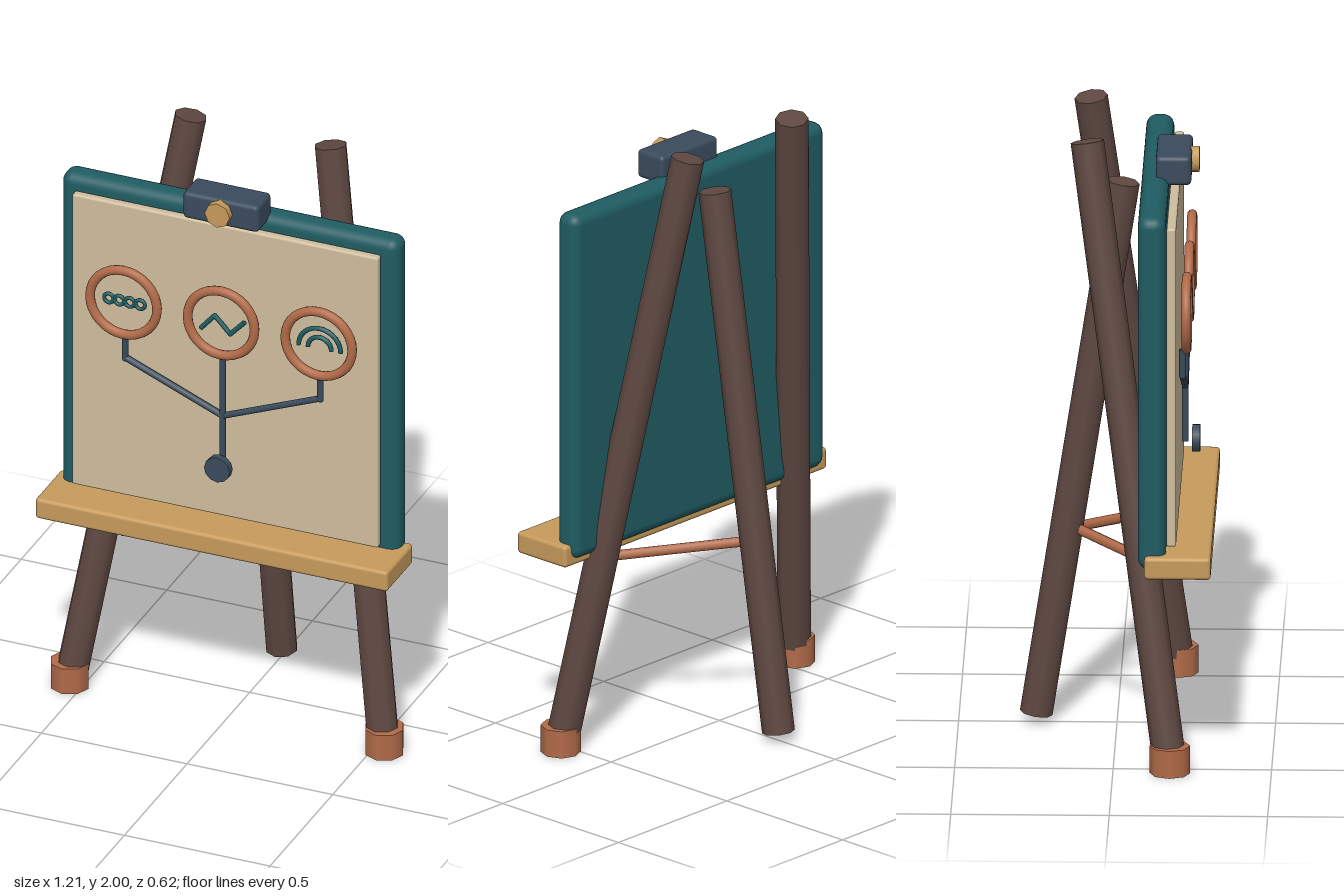
import * as THREE from 'three';
import { RoundedBoxGeometry } from 'three/addons/geometries/RoundedBoxGeometry.js';

const mat = (name, color) => {
  const m = new THREE.MeshStandardMaterial({ color });
  m.name = name;
  return m;
};

export function createModel() {
  const root = new THREE.Group();
  root.name = 'easel';
  const wood = mat('dark wood', 0x5f4842);
  const teal = mat('teal', 0x1f5c62);
  const paper = mat('parchment', 0xcfbe9e);
  const tan = mat('light wood', 0xc69a5b);
  const copper = mat('copper', 0xb26b49);
  const slate = mat('slate', 0x3a4b5c);

  const V = (x, y, z) => new THREE.Vector3(x, y, z);
  const add = (name, geometry, material, x = 0, y = 0, z = 0, parent = root) => {
    const mesh = new THREE.Mesh(geometry, material);
    mesh.name = name;
    mesh.position.set(x, y, z);
    parent.add(mesh);
    return mesh;
  };
  // Straight round bar between two points
  const bar = (name, a, b, r, sides, material, parent = root) => {
    const dir = b.clone().sub(a);
    const mid = a.clone().add(b).multiplyScalar(0.5);
    const mesh = add(name, new THREE.CylinderGeometry(r, r, dir.length(), sides), material, mid.x, mid.y, mid.z, parent);
    mesh.quaternion.setFromUnitVectors(V(0, 1, 0), dir.normalize());
    return mesh;
  };
  // Box given by its lower and upper limits on each axis
  const box = (name, [x0, x1], [y0, y1], [z0, z1], r, material) =>
    add(name, new RoundedBoxGeometry(x1 - x0, y1 - y0, z1 - z0, 3, r), material,
      (x0 + x1) / 2, (y0 + y1) / 2, (z0 + z1) / 2);
  // Short disc facing the front
  const disc = (name, r, depth, sides, material, x, y, z) => {
    const g = new THREE.CylinderGeometry(r, r, depth, sides);
    g.rotateX(Math.PI / 2);
    return add(name, g, material, x, y, z);
  };

  // Tripod: two splayed front legs with feet and braces, one rear leg
  for (const [side, s] of [['left', 1], ['right', -1]]) {
    bar(side + 'FrontLeg', V(s * 0.535, 0.04, 0.178), V(s * 0.24, 1.99, -0.088), 0.053, 8, wood);
    add(side + 'Foot', new THREE.CylinderGeometry(0.064, 0.064, 0.09, 8), copper, s * 0.54, 0.045, 0.18);
    bar(side + 'Brace', V(0, 0.643, -0.135), V(s * 0.36, 0.602, 0.19), 0.017, 8, copper);
  }
  bar('rearLeg', V(0, 0.03, -0.255), V(0, 1.785, 0.02), 0.052, 8, wood);

  // Board, sheet, tray and clip
  box('board', [-0.58, 0.58], [0.675, 1.838], [0.079, 0.167], 0.035, teal);
  box('sheet', [-0.525, 0.525], [0.74, 1.79], [0.169, 0.199], 0.008, paper);
  box('tray', [-0.605, 0.605], [0.655, 0.727], [0.1, 0.31], 0.012, tan);
  box('clip', [-0.13, 0.13], [1.81, 1.905], [0.125, 0.237], 0.015, slate);
  disc('clipKnob', 0.043, 0.035, 8, tan, 0, 1.86, 0.243);

  // Branching diagram leading to three rings
  const diagram = new THREE.Group();
  diagram.name = 'diagram';
  root.add(diagram);
  const lz = 0.215;
  bar('trunk', V(0, 0.93, lz), V(0, 1.335, lz), 0.011, 8, slate, diagram);
  for (const s of [-1, 1]) {
    bar('branch', V(0, 1.113, lz), V(s * 0.335, 1.25, lz), 0.011, 8, slate, diagram);
    bar('branchRiser', V(s * 0.335, 1.245, lz), V(s * 0.335, 1.335, lz), 0.011, 8, slate, diagram);
    add('branchJoint', new THREE.SphereGeometry(0.011, 8, 6), slate, s * 0.335, 1.247, lz, diagram);
  }
  disc('hub', 0.044, 0.025, 12, slate, 0, 0.94, 0.25);
  for (const x of [-0.335, 0, 0.335])
    add('ring', new THREE.TorusGeometry(0.115, 0.0155, 10, 32), copper, x, 1.455, 0.228, diagram);

  // Symbol: row of four links
  const sz = 0.22;
  for (let i = 0; i < 4; i++)
    add('link', new THREE.TorusGeometry(0.016, 0.0065, 8, 16), teal, -0.335 + (i - 1.5) * 0.036, 1.455, sz, diagram);

  // Symbol: zigzag
  const zig = [[-0.073, 1.417], [-0.025, 1.473], [0.028, 1.417], [0.077, 1.47]].map(([x, y]) => V(x, y, sz));
  for (let i = 0; i < 3; i++) {
    bar('zigzag', zig[i], zig[i + 1], 0.008, 8, teal, diagram);
    if (i) add('zigzagCorner', new THREE.SphereGeometry(0.008, 8, 6), teal, zig[i].x, zig[i].y, sz, diagram);
  }

  // Symbol: two nested arches
  for (const r of [0.072, 0.04])
    add('arch', new THREE.TorusGeometry(r, 0.008, 8, 20, Math.PI), teal, 0.335, 1.433, sz, diagram);

  return root;
}
